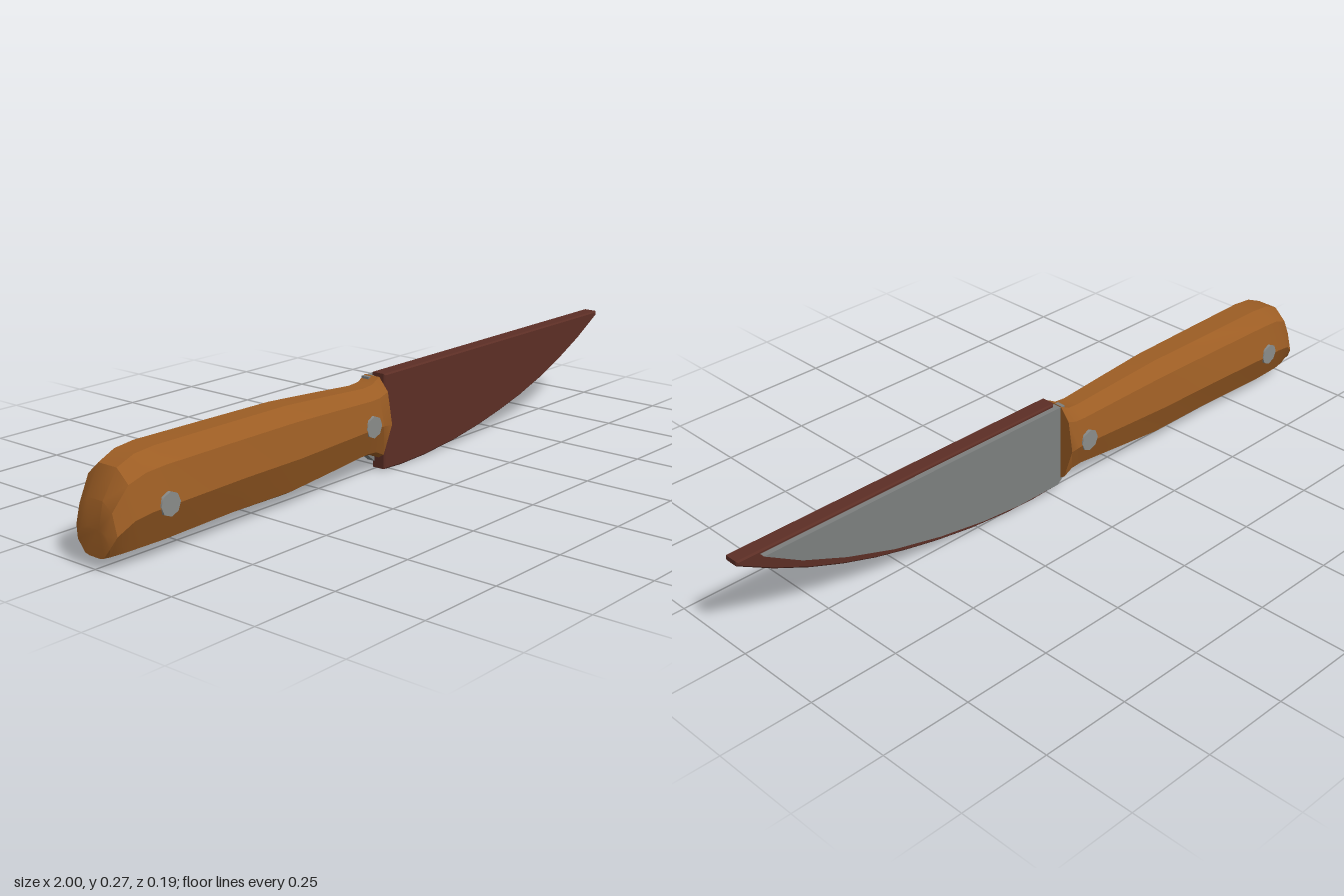
import * as THREE from 'three';
import { toCreasedNormals } from 'three/addons/utils/BufferGeometryUtils.js';

const mat = (name, color) => {
  const m = new THREE.MeshStandardMaterial({ color });
  m.name = name;
  return m;
};

// Handle stations: x, bottom y, top y, half width
const STATIONS = [
  [-1.0, 0.03, 0.1, 0.055],
  [-0.99, 0.029, 0.165, 0.07],
  [-0.95, 0.028, 0.235, 0.086],
  [-0.9, 0.028, 0.256, 0.092],
  [-0.84, 0.028, 0.262, 0.095],
  [-0.6, 0.033, 0.261, 0.088],
  [-0.4, 0.03, 0.26, 0.081],
  [-0.25, 0.042, 0.251, 0.074],
  [-0.1, 0.055, 0.241, 0.067],
  [-0.065, 0.052, 0.244, 0.067],
  [-0.035, 0.037, 0.26, 0.069],
];
// One side of the cross-section: fraction of half width, fraction of height
const SECTION = [[0.36, 1], [0.79, 0.84], [1, 0.45], [0.58, 0.05], [0.32, 0]];

function handleGeometry() {
  const ring = [...SECTION, ...SECTION.map(([w, h]) => [-w, h]).reverse()];
  const n = ring.length, pos = [], idx = [];
  for (const [x, lo, hi, half] of STATIONS)
    for (const [w, h] of ring) pos.push(x, lo + (hi - lo) * h, w * half);
  const last = (STATIONS.length - 1) * n;
  for (let i = 0; i < last; i += n)
    for (let j = 0; j < n; j++) {
      const a = i + j, b = i + (j + 1) % n;
      idx.push(a, b, b + n, a, b + n, a + n);
    }
  // end caps
  for (let j = 1; j < n - 1; j++) {
    idx.push(0, j + 1, j);
    idx.push(last, last + j, last + j + 1);
  }
  const g = new THREE.BufferGeometry();
  g.setAttribute('position', new THREE.Float32BufferAttribute(pos, 3));
  g.setIndex(idx);
  return toCreasedNormals(g, 0.5);
}

const outline = (pts) => new THREE.Shape(pts.map(([x, y]) => new THREE.Vector2(x, y)));

export function createModel() {
  const group = new THREE.Group();
  const wood = mat('wood', 0x9c5d24);
  const leather = mat('darkLeather', 0x5c2e25);
  const steel = mat('steel', 0x7c7f7e);
  const rivetMetal = mat('rivetMetal', 0x8a8c8a);

  const add = (name, geo, material) => {
    const m = new THREE.Mesh(geo, material);
    m.name = name;
    group.add(m);
    return m;
  };

  add('handle', handleGeometry(), wood);

  // Rivets pass through the handle and stand slightly proud of both sides
  for (const [x, y, half] of [[-0.85, 0.137, 0.0955], [-0.105, 0.145, 0.0685]]) {
    const r = add('rivet', toCreasedNormals(new THREE.CylinderGeometry(0.03, 0.03, half * 2, 8), 0.9), rivetMetal);
    r.rotation.x = Math.PI / 2;
    r.position.set(x, y, 0);
  }

  // Flat blade, seated in the handle
  const blade = outline([
    [-0.05, 0.04], [-0.025, 0.02], [0.12, 0.02], [0.25, 0.031], [0.4, 0.055], [0.55, 0.09],
    [0.7, 0.14], [0.83, 0.195], [0.935, 0.258], [-0.05, 0.258],
  ]);
  const bladeGeo = new THREE.ExtrudeGeometry(blade, { depth: 0.025, bevelEnabled: false });
  bladeGeo.translate(0, 0, -0.025);
  add('blade', bladeGeo, steel);

  // Softly bevelled sheath half covering the front of the blade
  const sheath = outline([
    [-0.025, 0.003], [0.05, 0], [0.15, 0.003], [0.28, 0.015], [0.4, 0.034], [0.5, 0.055],
    [0.6, 0.08], [0.7, 0.112], [0.8, 0.151], [0.9, 0.198], [1, 0.254], [1, 0.267], [-0.025, 0.267],
  ]);
  const b = 0.004;
  const sheathGeo = new THREE.ExtrudeGeometry(sheath, {
    depth: 0.045 - 2 * b, bevelThickness: b, bevelSize: b, bevelOffset: -b, bevelSegments: 1,
  });
  sheathGeo.translate(0, 0, -0.01 + b);
  add('sheath', sheathGeo, leather);

  return group;
}
